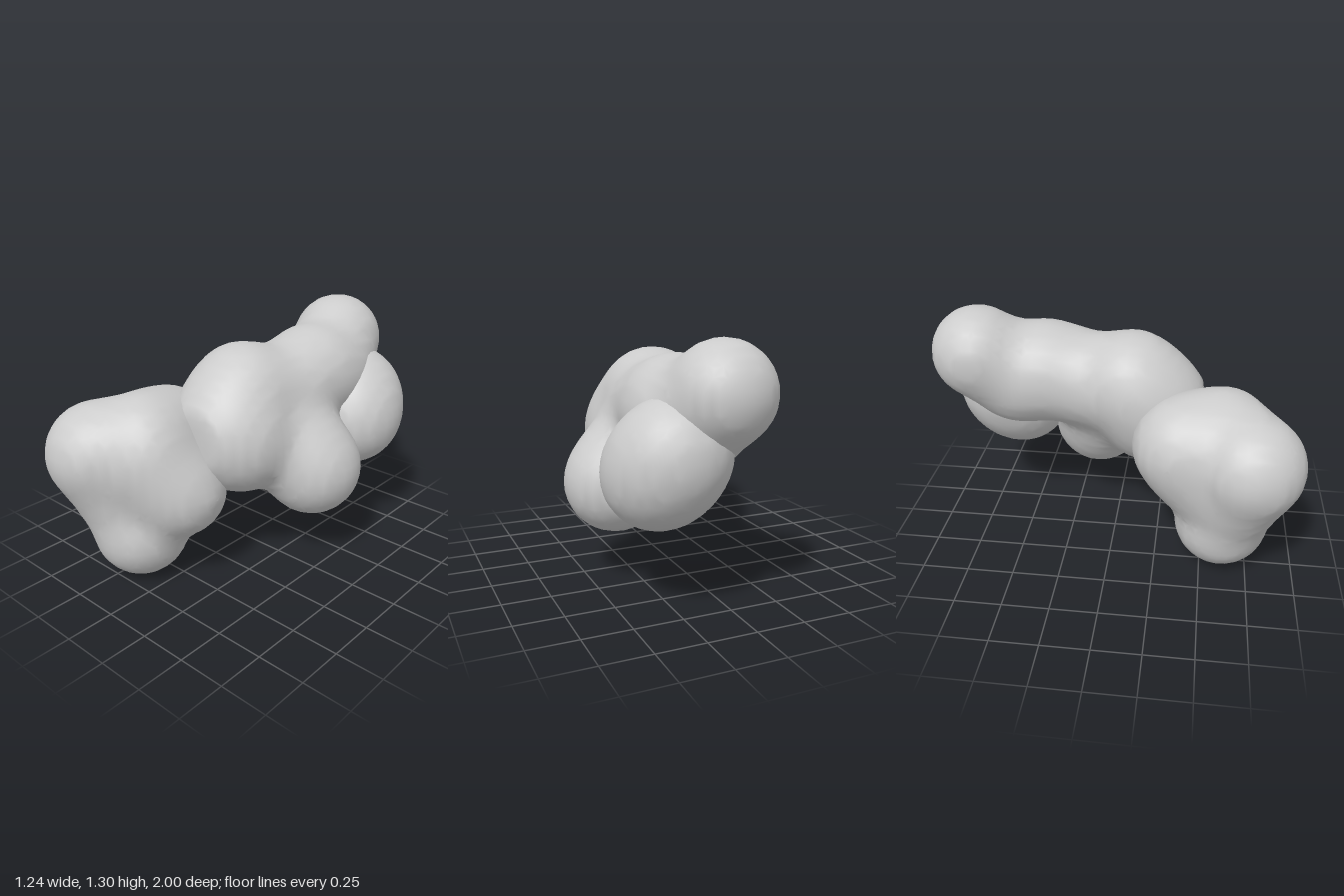
import * as THREE from 'three';

const STEP = 0.05;
const BLEND = 0.1;

// Each part is a cluster of balls [x, y, z, radius] fused into one soft skin.
const PARTS = {
  frontCluster: [
    [-0.35, 0.68, 0.73, 0.27], // foremost lobe
    [-0.17, 0.74, 0.58, 0.26], // upper lobe
    [-0.21, 0.7, 0.385, 0.27], // inner lobe towards the body
    [-0.2, 0.25, 0.605, 0.252], // foot lobe
    [-0.29, 0.47, 0.67, 0.23], // bridge from foremost lobe to foot
    [-0.2, 0.55, 0.48, 0.25], // core
    [-0.1, 0.64, 0.6, 0.22], // bridge from upper lobe to side lobe
    [-0.015, 0.5, 0.5, 0.248], // side lobe
  ],
  body: [
    [0.06, 0.91, 0.085, 0.285], // chest, top
    [0.06, 0.79, 0.22, 0.28], // chest, front
    [0.13, 0.715, 0.18, 0.275], // chest, lower
    [0.13, 0.88, -0.15, 0.26], // waist
    [0.135, 0.93, -0.36, 0.268], // back
    [0.13, 0.92, -0.5, 0.26],
    [0.13, 0.89, -0.59, 0.24], // bridge to the rear lobes
    [0.06, 1.05, -0.75, 0.25], // rear tip
    [0.26, 0.66, -0.09, 0.24], // bridge to the side lobe
    [0.36, 0.53, -0.13, 0.265], // side lobe
  ],
  rearSideLobe: [
    [0.24, 0.79, -0.65, 0.25],
    [0.28, 0.74, -0.645, 0.26],
    [0.315, 0.66, -0.575, 0.26],
  ],
};

// Signed distance to a softly blended union of balls.
function makeField(balls, zLimit) {
  return (x, y, z) => {
    let d = Infinity;
    for (const [bx, by, bz, r] of balls) {
      const e = Math.hypot(x - bx, y - by, z - bz) - r;
      const h = d === Infinity ? 0 : Math.max(BLEND - Math.abs(d - e), 0) / BLEND;
      d = Math.min(d, e) - (h * h * BLEND) / 4;
    }
    return Math.max(d, z - zLimit);
  };
}

// Skin the field on a regular grid: one vertex per crossed cell, one quad per crossed edge.
function skin(balls, zLimit) {
  const field = makeField(balls, zLimit);
  const pad = 3 * STEP;
  const lo = [0, 1, 2].map((a) => Math.min(...balls.map((b) => b[a] - b[3])) - pad);
  const hi = [0, 1, 2].map((a) => Math.max(...balls.map((b) => b[a] + b[3])) + pad);
  const n = lo.map((v, a) => Math.ceil((hi[a] - v) / STEP) + 1);
  const key = (i, j, k) => (i * n[1] + j) * n[2] + k;

  const values = new Float32Array(n[0] * n[1] * n[2]);
  for (let i = 0; i < n[0]; i++)
    for (let j = 0; j < n[1]; j++)
      for (let k = 0; k < n[2]; k++)
        values[key(i, j, k)] = field(lo[0] + i * STEP, lo[1] + j * STEP, lo[2] + k * STEP);

  const positions = [];
  const indices = [];
  const cells = new Map();

  // Vertex of a cell: mean of its edge crossings, then pulled onto the surface.
  function cellVertex(c) {
    const id = key(...c);
    if (cells.has(id)) return cells.get(id);
    const p = [0, 0, 0];
    let count = 0;
    const corner = (m) => [c[0] + (m & 1), c[1] + ((m >> 1) & 1), c[2] + ((m >> 2) & 1)];
    for (let m = 0; m < 8; m++)
      for (let a = 0; a < 3; a++) {
        if (m & (1 << a)) continue;
        const q = corner(m);
        const v0 = values[key(...q)];
        const v1 = values[key(...corner(m | (1 << a)))];
        if (v0 < 0 === v1 < 0) continue;
        q[a] += v0 / (v0 - v1);
        for (let s = 0; s < 3; s++) p[s] += q[s];
        count++;
      }
    for (let s = 0; s < 3; s++) p[s] = lo[s] + (p[s] / count) * STEP;
    const h = 1e-3;
    for (let pass = 0; pass < 2; pass++) {
      const d = field(...p);
      const g = [0, 1, 2].map((a) => {
        const q = [...p];
        q[a] += h;
        return (field(...q) - d) / h;
      });
      const gg = Math.max(g[0] ** 2 + g[1] ** 2 + g[2] ** 2, 0.25);
      for (let s = 0; s < 3; s++) p[s] -= (d * g[s]) / gg;
    }
    const index = positions.length / 3;
    positions.push(...p);
    cells.set(id, index);
    return index;
  }

  for (let i = 1; i < n[0] - 1; i++)
    for (let j = 1; j < n[1] - 1; j++)
      for (let k = 1; k < n[2] - 1; k++)
        for (let a = 0; a < 3; a++) {
          const c = [i, j, k];
          const next = [...c];
          next[a]++;
          const inside = values[key(...c)] < 0;
          if (inside === values[key(...next)] < 0) continue;
          const around = (b, d) => {
            const q = [...c];
            q[(a + 1) % 3] -= b;
            q[(a + 2) % 3] -= d;
            return cellVertex(q);
          };
          const quad = [around(1, 1), around(0, 1), around(0, 0), around(1, 0)];
          if (!inside) quad.reverse();
          const [v0, v1, v2, v3] = quad;
          indices.push(v0, v1, v2, v0, v2, v3);
        }

  const geometry = new THREE.BufferGeometry();
  geometry.setAttribute('position', new THREE.Float32BufferAttribute(positions, 3));
  geometry.setIndex(indices);
  geometry.computeVertexNormals();
  return geometry;
}

export function createModel() {
  const model = new THREE.Group();
  model.name = 'blobChain';
  const material = new THREE.MeshStandardMaterial({ color: 0xcccccc });
  for (const [name, balls] of Object.entries(PARTS)) {
    // The body is cut flat where it meets the front cluster.
    const mesh = new THREE.Mesh(skin(balls, name === 'body' ? 0.47 : Infinity), material);
    mesh.name = name;
    model.add(mesh);
  }
  return model;
}
